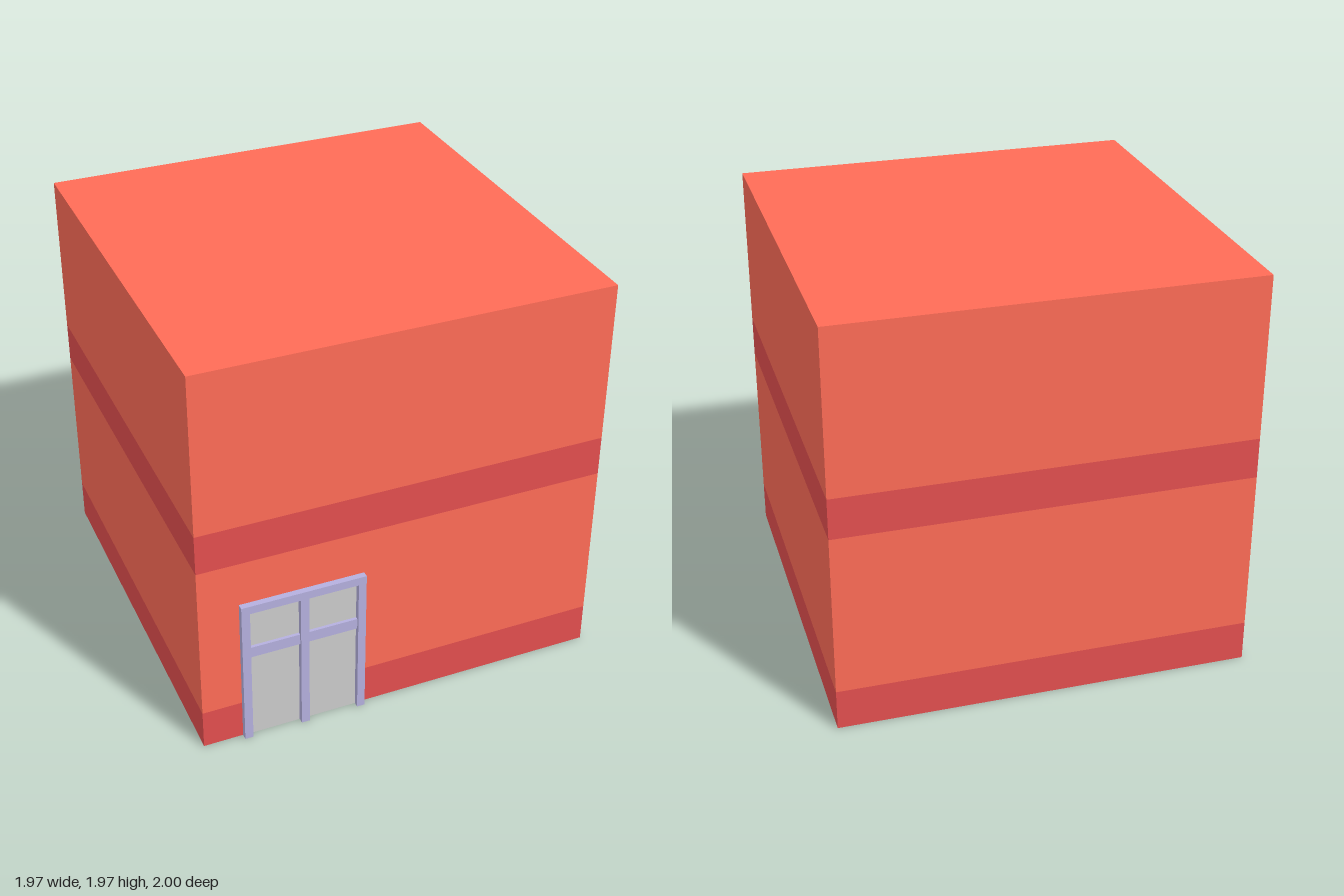
import * as THREE from 'three';

const paint = (color) => new THREE.MeshStandardMaterial({ color });

// Box given by its limits; sides lists the faces kept (0 +x, 1 -x, 2 +y, 3 -y, 4 +z, 5 -z)
function box(name, material, [x0, x1], [y0, y1], [z0, z1], sides = [0, 1, 2, 3, 4, 5]) {
  const geometry = new THREE.BoxGeometry(x1 - x0, y1 - y0, z1 - z0);
  geometry.translate((x0 + x1) / 2, (y0 + y1) / 2, (z0 + z1) / 2);
  const index = Array.from(geometry.index.array);
  geometry.setIndex(sides.flatMap((s) => index.slice(s * 6, s * 6 + 6)));
  geometry.clearGroups();
  const mesh = new THREE.Mesh(geometry, material);
  mesh.name = name;
  return mesh;
}

export function createModel() {
  const model = new THREE.Group();
  model.name = 'building';
  const wall = paint(0xff6c57);
  const band = paint(0xe34f4f);
  const trim = paint(0xb5b0de);
  const glass = paint(0xcccccc);
  const front = 0.97;

  // Two storeys, each a dark band below a lighter wall
  const levels = [0, 0.197, 0.985, 1.182, 1.97];
  const names = ['lowerBand', 'lowerWall', 'upperBand', 'upperWall'];
  names.forEach((name, i) => {
    const sides = [0, 1, 4, 5];
    if (i === 3) sides.push(2); // flat roof
    if (i === 0) sides.push(3); // underside
    model.add(box(name, i % 2 ? wall : band, [-0.985, 0.985], [levels[i], levels[i + 1]], [-1, front], sides));
  });

  // Double door
  const door = new THREE.Group();
  door.name = 'door';
  model.add(door);

  // Frame: head, two jambs and centre post cut as one outline
  const outline = [
    [-0.795, 0], [-0.755, 0], [-0.755, 0.722], [-0.515, 0.722], [-0.515, 0], [-0.475, 0],
    [-0.475, 0.722], [-0.235, 0.722], [-0.235, 0], [-0.197, 0], [-0.197, 0.763], [-0.795, 0.763],
  ].map(([x, y]) => new THREE.Vector2(x, y));
  const frame = new THREE.Mesh(
    new THREE.ExtrudeGeometry(new THREE.Shape(outline), { depth: 0.03, bevelEnabled: false }), trim);
  frame.name = 'doorFrame';
  frame.position.z = front;
  door.add(frame);

  // Panes and cross rails
  for (const [side, x] of [['right', [-0.755, -0.515]], ['left', [-0.475, -0.235]]]) {
    door.add(box(side + 'Pane', glass, x, [0, 0.722], [front - 0.01, front + 0.003], [2, 3, 4]));
    door.add(box(side + 'Rail', trim, x, [0.465, 0.52], [front, front + 0.018], [2, 3, 4]));
  }
  return model;
}
